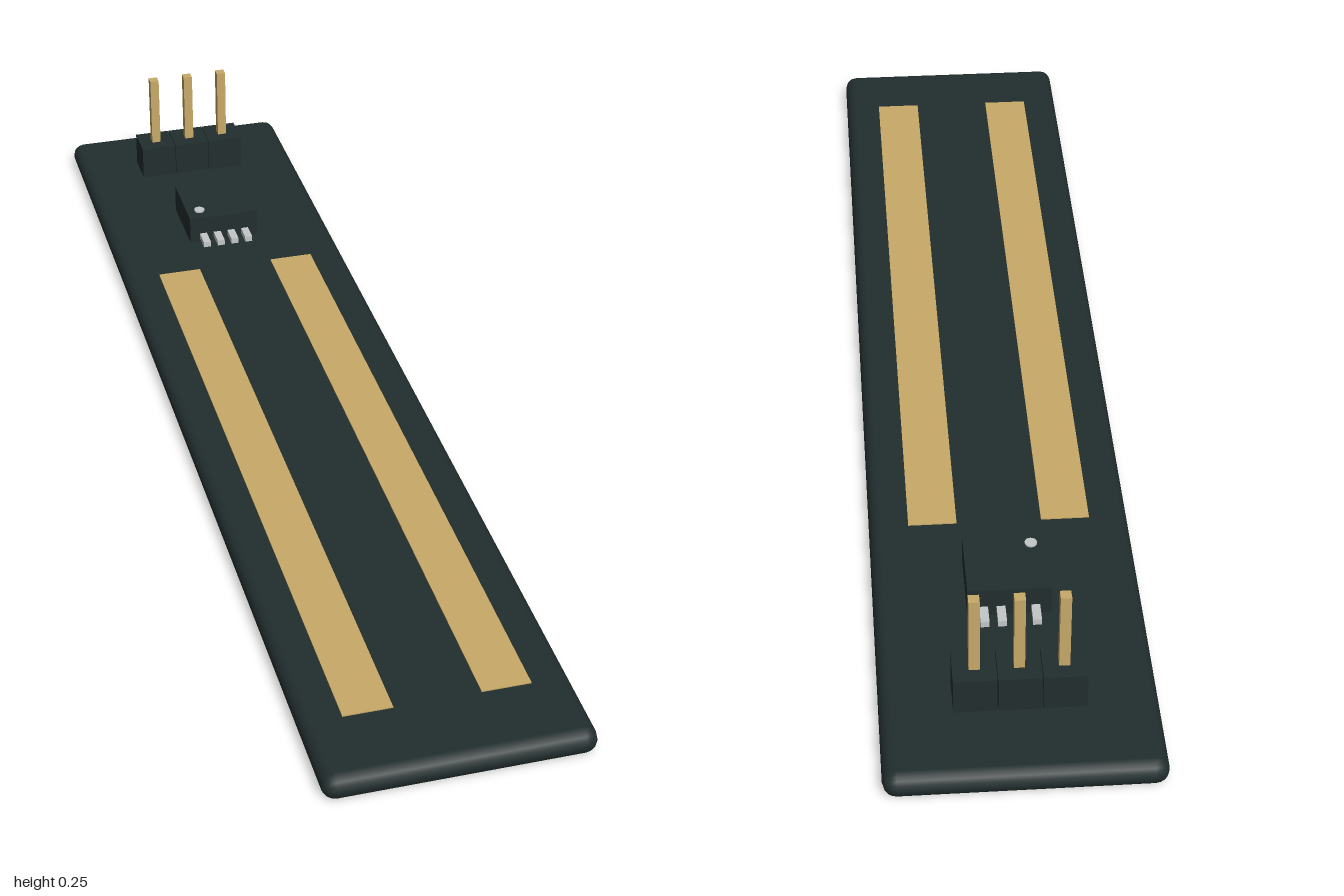
import * as THREE from 'three';
import { RoundedBoxGeometry } from 'three/addons/geometries/RoundedBoxGeometry.js';

const material = (name, color) => {
  const m = new THREE.MeshStandardMaterial({ color });
  m.name = name;
  return m;
};

export function createModel() {
  const dark = material('dark green black', 0x222e2e);
  const gold = material('gold', 0xc8a968);
  const silver = material('silver', 0xc4c8c8);

  const model = new THREE.Group();
  model.name = 'sensorBoard';

  const add = (parent, name, geometry, mat, x, y, z) => {
    const mesh = new THREE.Mesh(geometry, mat);
    mesh.name = name;
    mesh.position.set(x, y, z);
    parent.add(mesh);
    return mesh;
  };
  const group = (name) => {
    const g = new THREE.Group();
    g.name = name;
    model.add(g);
    return g;
  };

  // Circuit board with rounded edges
  add(model, 'board', new RoundedBoxGeometry(0.43, 0.044, 2, 2, 0.0219), dark, 0, 0.022, 0);

  // Two long contact strips
  const strip = new THREE.BoxGeometry(0.08, 0.004, 1.3);
  for (const side of [-1, 1]) add(model, 'contactStrip', strip, gold, side * 0.11, 0.044, 0.215);

  // Three-pin header
  const header = group('pinHeader');
  const block = new THREE.BoxGeometry(0.0675, 0.064, 0.066);
  const pin = new THREE.BoxGeometry(0.017, 0.16, 0.017);
  for (const i of [-1, 0, 1]) {
    add(header, 'headerBlock', block, dark, i * 0.0685, 0.082, -0.838);
    add(header, 'headerPin', pin, gold, i * 0.0685, 0.172, -0.838);
  }

  // Chip with four legs on the front and four on the back
  const chip = group('chip');
  add(chip, 'chipBody', new THREE.BoxGeometry(0.134, 0.053, 0.134), dark, 0, 0.0765, -0.595);
  const leg = new THREE.BoxGeometry(0.014, 0.011, 0.036);
  for (const side of [-1, 1]) {
    for (let i = 0; i < 4; i++) {
      add(chip, 'chipLeg', leg, silver, (i - 1.5) * 0.0275, 0.063, -0.595 + side * 0.084);
    }
  }

  // Orientation mark on the chip
  add(chip, 'chipDot', new THREE.CylinderGeometry(0.01, 0.01, 0.004, 16), silver, -0.042, 0.104, -0.557);

  return model;
}
